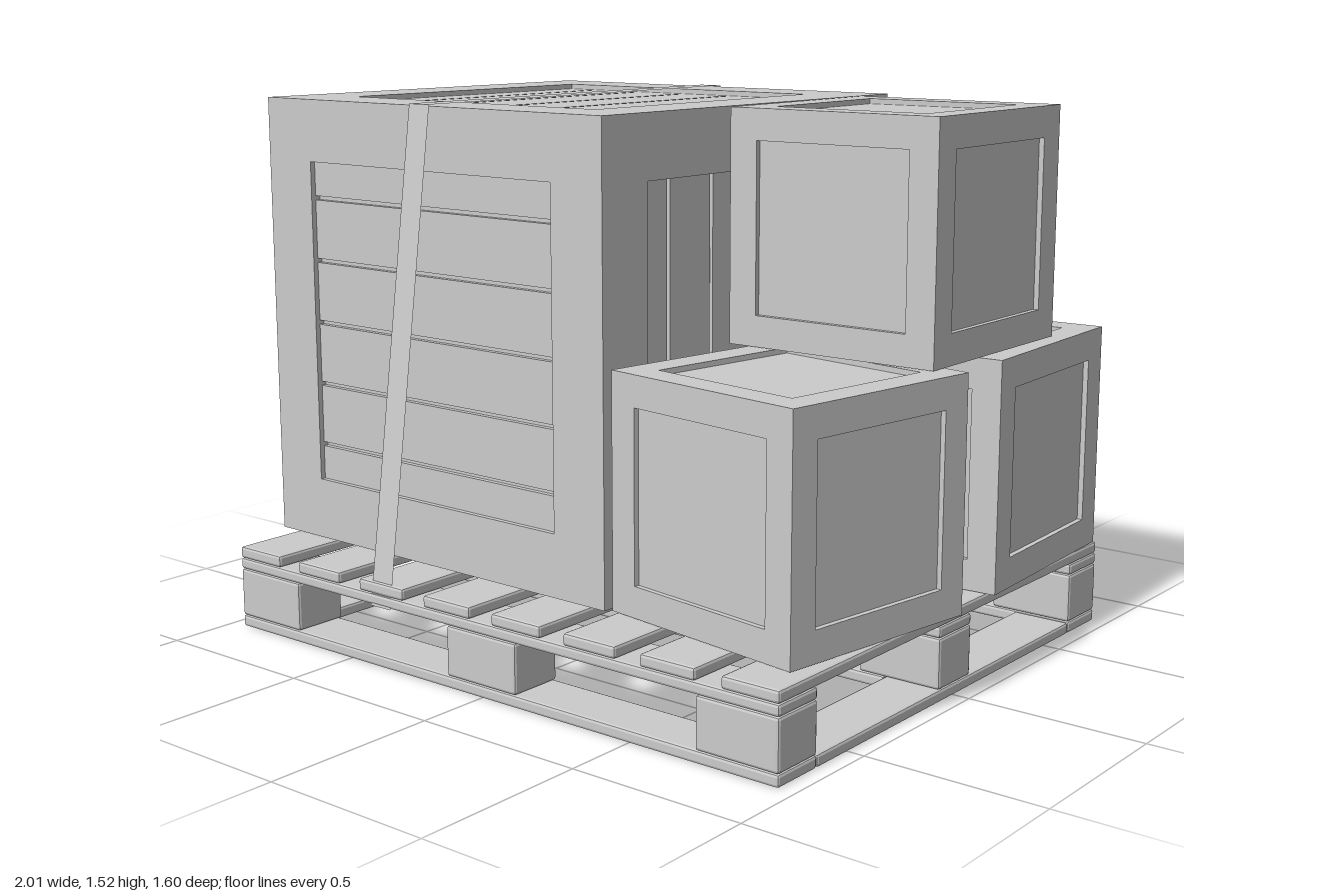
import * as THREE from 'three';
import { RoundedBoxGeometry } from 'three/addons/geometries/RoundedBoxGeometry.js';

const material = new THREE.MeshStandardMaterial({ color: 0xcccccc, flatShading: true });
const strapMaterial = new THREE.MeshStandardMaterial({ color: 0xcccccc, side: THREE.DoubleSide });

function add(parent, name, geometry, x = 0, y = 0, z = 0, mat = material) {
  const mesh = new THREE.Mesh(geometry, mat);
  mesh.name = name;
  mesh.position.set(x, y, z);
  parent.add(mesh);
  return mesh;
}

// Timber with slightly chamfered edges
const plank = (w, h, d) => new RoundedBoxGeometry(w, h, d, 1, 0.008);

// Square border with a square opening
function frameGeometry(size, border, depth) {
  const h = size / 2, i = h - border;
  const shape = new THREE.Shape([[-h, -h], [h, -h], [h, h], [-h, h]].map(p => new THREE.Vector2(...p)));
  shape.holes.push(new THREE.Path([[-i, -i], [-i, i], [i, i], [i, -i]].map(p => new THREE.Vector2(...p))));
  return new THREE.ExtrudeGeometry(shape, { depth, bevelEnabled: false });
}

// Cubic crate: a core, a border on all six faces and optional slats in the openings
function createCrate(name, size, border, depth, slatPitch) {
  const crate = new THREE.Group();
  crate.name = name;
  const core = size - 2 * depth;
  add(crate, 'core', new THREE.BoxGeometry(core, core, core));
  const q = Math.PI / 2;
  const faces = [
    ['front', 0, 0, 0], ['back', 0, 2 * q, 0],
    ['left', 0, q, q], ['right', 0, -q, q],
    ['top', -q, 0, q], ['bottom', q, 0, q],
  ];
  for (const [side, rx, ry, rz] of faces) {
    const panel = new THREE.Group();
    panel.name = side + 'Panel';
    panel.rotation.set(rx, ry, rz);
    add(panel, 'frame', frameGeometry(size, border, depth), 0, 0, core / 2);
    if (slatPitch) {
      const half = size / 2 - border, gap = 0.012, thick = depth * 0.5;
      for (let i = -3; i < 3; i++) {
        const low = Math.max(-half, i * slatPitch + gap / 2);
        const high = Math.min(half, (i + 1) * slatPitch - gap / 2);
        add(panel, 'slat', new THREE.BoxGeometry(2 * half, high - low, thick),
          0, (low + high) / 2, core / 2 + thick / 2);
      }
    }
    crate.add(panel);
  }
  return crate;
}

function createPallet() {
  const pallet = new THREE.Group();
  pallet.name = 'pallet';
  const W = 1.91, D = 1.59;
  // Bottom runners: three across, two along the ends between them
  for (const z of [-0.715, 0, 0.715]) {
    const inner = z === 0;
    add(pallet, 'bottomBoard', plank(inner ? W - 0.34 : W, 0.034, 0.16), 0, 0.017, z);
    add(pallet, 'stringer', plank(W, 0.032, 0.16), 0, 0.19, z);
    for (const x of [-0.832, 0, 0.832]) {
      add(pallet, 'block', plank(0.246, 0.14, 0.16), x, 0.104, z);
    }
  }
  for (const x of [-0.87, 0.87]) {
    add(pallet, 'endBoard', plank(0.17, 0.034, D - 0.32), x, 0.017, 0);
  }
  // Deck slats
  for (let i = 0; i < 8; i++) {
    add(pallet, 'deckSlat', plank(0.17, 0.034, D), -0.87 + i * 1.74 / 7, 0.223, 0);
  }
  return pallet;
}

// Flat ribbon over the large crate, tied down to the pallet ends
function createStrap() {
  const path = [[0.795, 0.172], [0.605, 1.522], [-0.672, 1.522], [-0.8, 0.172]];
  const positions = [], index = [];
  path.forEach(([z, y], i) => {
    positions.push(-0.41, y, z, -0.335, y, z);
    if (i) index.push(2 * i - 2, 2 * i - 1, 2 * i, 2 * i - 1, 2 * i + 1, 2 * i);
  });
  const indexed = new THREE.BufferGeometry();
  indexed.setAttribute('position', new THREE.Float32BufferAttribute(positions, 3));
  indexed.setIndex(index);
  const geometry = indexed.toNonIndexed();
  geometry.computeVertexNormals();
  return geometry;
}

export function createModel() {
  const model = new THREE.Group();
  model.name = 'loadedPallet';
  model.add(createPallet());

  // name, size, border, recess depth, slat pitch, centre, turn
  const crates = [
    ['largeCrate', 1.272, 0.175, 0.03, 0.179, [-0.355, 0.882, -0.035], -0.016],
    ['frontSmallCrate', 0.635, 0.085, 0.015, 0, [0.643, 0.562, 0.325], -0.151],
    ['backSmallCrate', 0.635, 0.085, 0.015, 0, [0.652, 0.56, -0.445], 0.053],
    ['topSmallCrate', 0.635, 0.085, 0.015, 0, [0.615, 1.2, -0.2], 0.01],
  ];
  for (const [name, size, border, depth, pitch, centre, turn] of crates) {
    const crate = createCrate(name, size, border, depth, pitch);
    crate.position.set(...centre);
    crate.rotation.y = turn;
    model.add(crate);
  }

  add(model, 'strap', createStrap(), 0, 0, 0, strapMaterial);
  return model;
}
